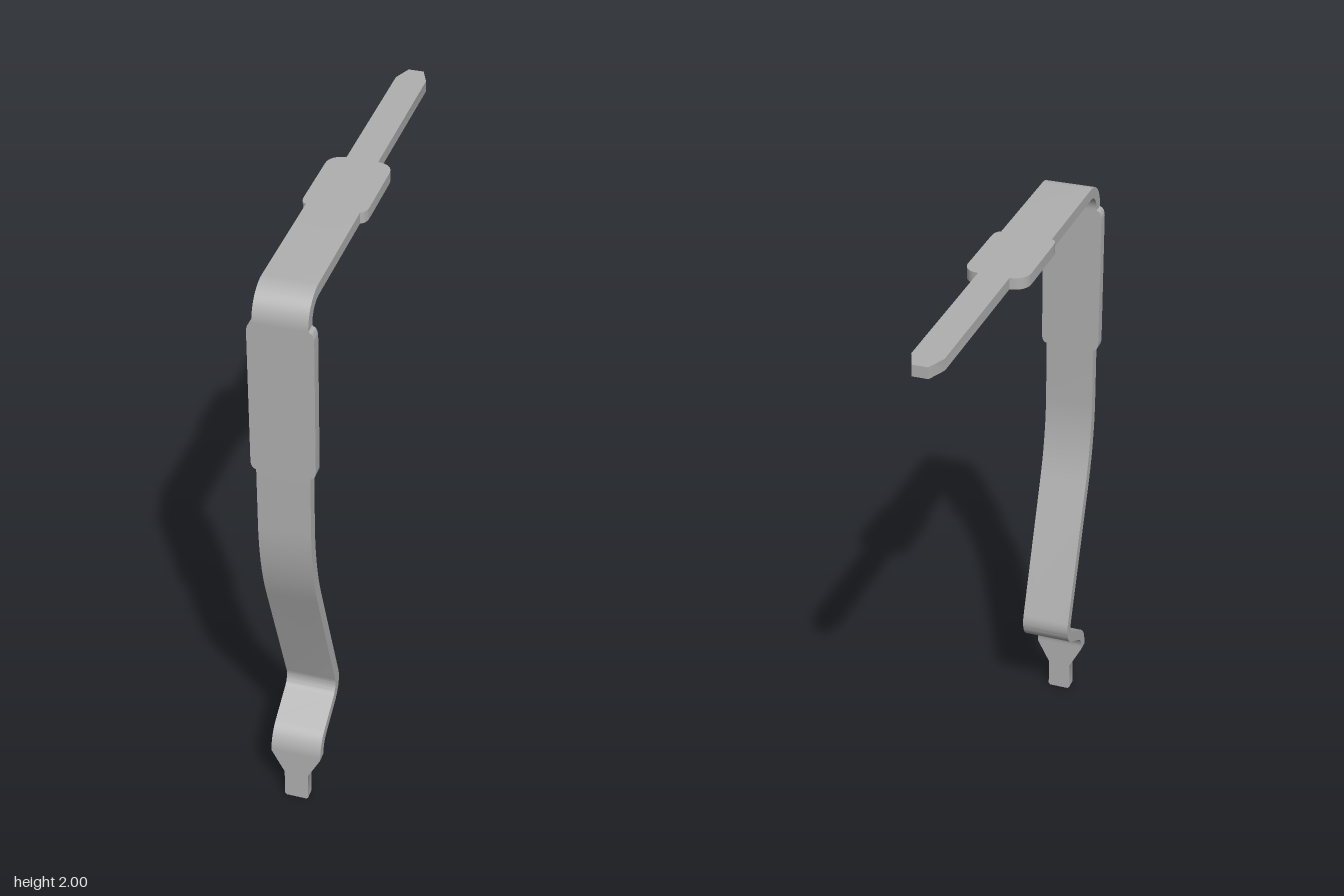
import * as THREE from 'three';
import { toCreasedNormals } from 'three/addons/utils/BufferGeometryUtils.js';

const HALF_T = 0.0185; // half thickness of the sheet
const BODY = 0.083;    // half width of the plain strip
const rad = THREE.MathUtils.degToRad;

// Station on the centre line: position, heading and half width
const station = (z, y, deg, w) => ({ z, y, a: rad(deg), w });

// Rounded bend around a corner of the centre line
function bend(z, y, deg0, deg1, r, steps) {
  const a0 = rad(deg0), a1 = rad(deg1), s = Math.sign(a1 - a0);
  const t = r * Math.tan(Math.abs(a1 - a0) / 2);
  const cz = z - t * Math.cos(a0) - s * r * Math.sin(a0);
  const cy = y - t * Math.sin(a0) + s * r * Math.cos(a0);
  return Array.from({ length: steps + 1 }, (_, i) => {
    const a = a0 + (a1 - a0) * i / steps;
    return { z: cz + s * r * Math.sin(a), y: cy - s * r * Math.cos(a), a, w: BODY };
  });
}

// Quarter-round shoulder between two half widths
function shoulder(from, to, w0, w1, place, steps = 6) {
  return Array.from({ length: steps + 1 }, (_, i) => {
    const q = (i / steps) * Math.PI / 2;
    const grow = w1 > w0;
    const u = grow ? 1 - Math.cos(q) : Math.sin(q);
    const v = grow ? Math.sin(q) : 1 - Math.cos(q);
    return place(from + (to - from) * u, w0 + (w1 - w0) * v);
  });
}

// Sweep a rectangular section of varying width through the stations
function stripGeometry(stations) {
  const rings = stations.map(({ z, y, a, w }) => {
    const nz = -Math.sin(a) * HALF_T, ny = Math.cos(a) * HALF_T;
    return [[w, y + ny, z + nz], [-w, y + ny, z + nz], [-w, y - ny, z - nz], [w, y - ny, z - nz]];
  });
  const pos = [];
  const quad = (a, b, c, d) => pos.push(...a, ...b, ...c, ...a, ...c, ...d);
  for (let i = 0; i < rings.length - 1; i++) {
    const p = rings[i], q = rings[i + 1];
    for (let k = 0; k < 4; k++) {
      const n = (k + 1) % 4;
      quad(p[k], p[n], q[n], q[k]);
    }
  }
  const [a, b, c, d] = rings[0];
  quad(a, d, c, b);
  quad(...rings[rings.length - 1]);
  const geo = new THREE.BufferGeometry();
  geo.setAttribute('position', new THREE.Float32BufferAttribute(pos, 3));
  return toCreasedNormals(geo, rad(30));
}

export function createModel() {
  const metal = new THREE.MeshStandardMaterial({ color: 0xb0b0b0 });
  metal.name = 'grey metal';

  const onArm = (z, w) => station(z, 1.9815, 0, w);
  const onLeg = (y, w) => station(0.679, y, -90, w);
  const onTab = (y, w) => station(0.619, y, -90, w);

  const stations = [
    // pointed tail and wide pad of the horizontal arm
    onArm(-0.697, 0.025), onArm(-0.635, 0.05), onArm(-0.096, 0.05),
    ...shoulder(-0.095, -0.045, 0.053, 0.101, onArm),
    ...shoulder(0.165, 0.2, 0.101, 0.085, onArm),
    onArm(0.201, BODY),
    // top corner
    ...bend(0.679, 1.9815, 0, -90, 0.08, 12),
    // wide pad of the upright leg
    ...shoulder(1.898, 1.868, 0.086, 0.1, onLeg),
    ...shoulder(1.415, 1.387, 0.1, 0.086, onLeg),
    onLeg(1.386, BODY),
    // gentle backward lean, knee and foot bend
    ...bend(0.679, 1.023, -90, -110, 0.9, 12),
    ...bend(0.434, 0.35, -110, -30, 0.065, 12),
    ...bend(0.619, 0.243, -30, -90, 0.08, 10),
    // tapered solder tab
    onTab(0.188, BODY), onTab(0.105, 0.04), onTab(0.007, 0.04), onTab(0, 0.034),
  ];

  const strip = new THREE.Mesh(stripGeometry(stations), metal);
  strip.name = 'bentContactStrip';
  const model = new THREE.Group();
  model.name = 'contactPin';
  model.add(strip);
  return model;
}
